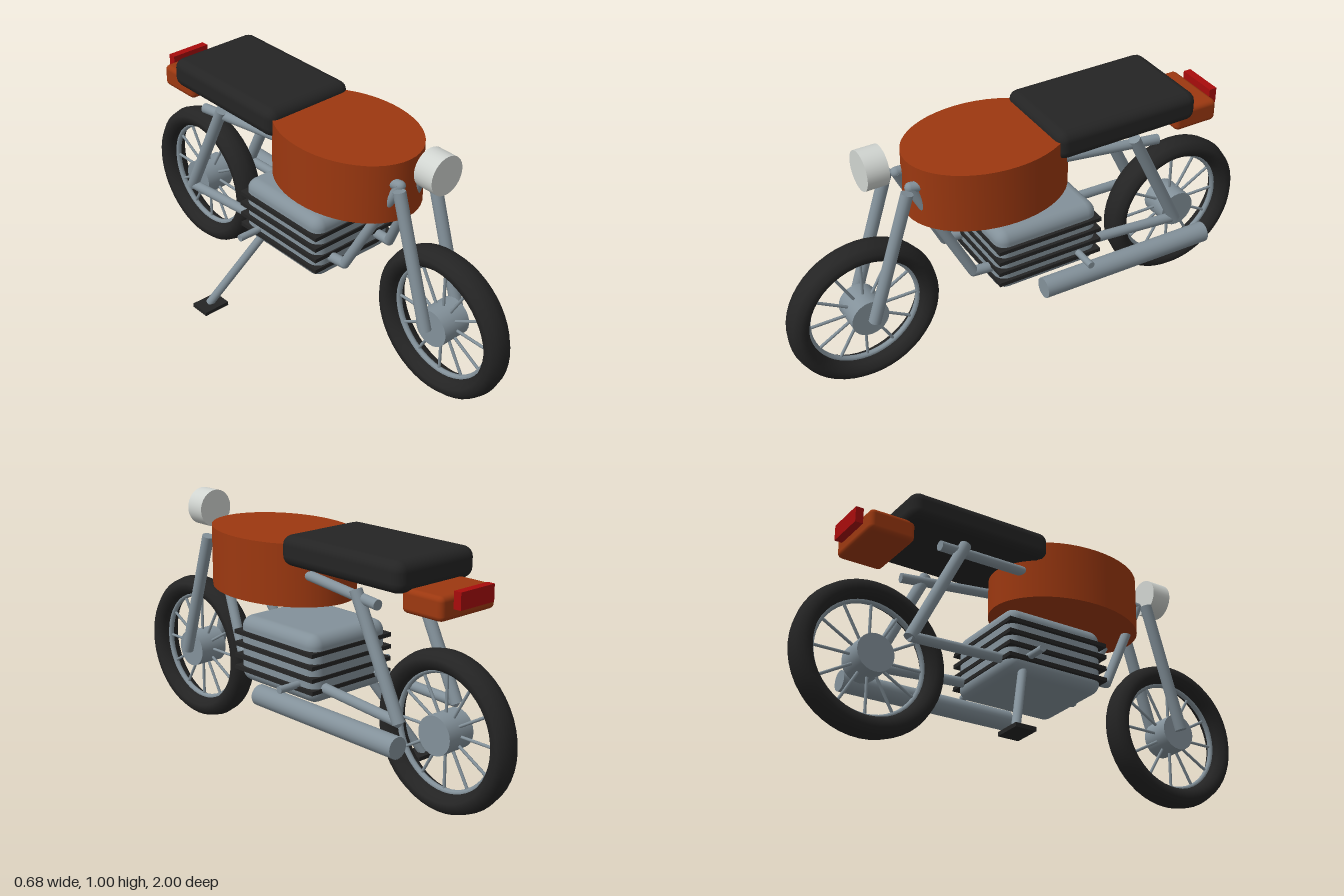
import * as THREE from 'three';
import { RoundedBoxGeometry } from 'three/addons/geometries/RoundedBoxGeometry.js';

const material = (name, color) => {
  const m = new THREE.MeshStandardMaterial({ color });
  m.name = name;
  return m;
};

export function createModel() {
  const orange = material('orange paint', 0x9c3810);
  const steel = material('grey steel', 0x83919a);
  const black = material('black rubber', 0x242424);
  const red = material('red lens', 0xa80c0c);
  const white = material('pale lamp', 0xd0d4d0);

  const model = new THREE.Group();
  model.name = 'motorcycle';
  // The bike sits slightly to its left because of the side stand
  const bike = new THREE.Group();
  bike.name = 'bike';
  bike.position.x = 0.052;
  model.add(bike);

  const add = (name, geometry, mat, x = 0, y = 0, z = 0, parent = bike) => {
    const mesh = new THREE.Mesh(geometry, mat);
    mesh.name = name;
    mesh.position.set(x, y, z);
    parent.add(mesh);
    return mesh;
  };

  // Round bar between two points
  const bar = (name, a, b, r, mat = steel, sides = 16) => {
    const p = new THREE.Vector3(...a), q = new THREE.Vector3(...b);
    const d = q.clone().sub(p);
    const mesh = add(name, new THREE.CylinderGeometry(r, r, d.length(), sides), mat);
    mesh.position.copy(p).add(q).multiplyScalar(0.5);
    mesh.quaternion.setFromUnitVectors(new THREE.Vector3(0, 1, 0), d.normalize());
    return mesh;
  };

  // Wheels: tyre, rim, hub and twelve spokes
  const tyreGeo = new THREE.TorusGeometry(0.265, 0.04, 10, 48).scale(1, 1, 1.45).rotateY(Math.PI / 2);
  const rimGeo = new THREE.TorusGeometry(0.226, 0.012, 8, 48).rotateY(Math.PI / 2);
  const hubGeo = new THREE.CylinderGeometry(0.075, 0.075, 0.125, 24).rotateZ(Math.PI / 2);
  const spokeGeo = new THREE.CylinderGeometry(0.006, 0.006, 0.18, 8).translate(0, 0.14, 0);
  for (const [name, z] of [['frontWheel', 0.695], ['rearWheel', -0.695]]) {
    const wheel = new THREE.Group();
    wheel.name = name;
    wheel.position.set(0, 0.31, z);
    add('tyre', tyreGeo, black, 0, 0, 0, wheel);
    add('rim', rimGeo, steel, 0, 0, 0, wheel);
    add('hub', hubGeo, steel, 0, 0, 0, wheel);
    for (let i = 0; i < 12; i++) {
      add('spoke', spokeGeo, steel, 0, 0, 0, wheel).rotation.x = (i * Math.PI) / 6;
    }
    bike.add(wheel);
  }

  // Frame and fork, mirrored
  for (const s of [1, -1]) {
    bar('forkLeg', [s * 0.086, 0.31, 0.69], [s * 0.086, 0.83, 0.53], 0.024);
    bar('downTube', [s * 0.057, 0.83, 0.505], [s * 0.117, 0.41, 0.29], 0.02);
    bar('lowerTube', [s * 0.117, 0.41, 0.29], [s * 0.153, 0.36, -0.61], 0.02);
    bar('topTube', [s * 0.057, 0.83, 0.505], [s * 0.153, 0.765, -0.5], 0.02);
    bar('rearStrut', [s * 0.153, 0.8, -0.39], [s * 0.153, 0.355, -0.61], 0.024);
    // Rounded joints
    const joint = new THREE.SphereGeometry(0.02, 16, 10);
    add('headJoint', joint, steel, s * 0.057, 0.83, 0.505);
    add('frameJoint', joint, steel, s * 0.117, 0.41, 0.29);
  }

  // Engine block with cooling fins
  add('engine', new RoundedBoxGeometry(0.386, 0.265, 0.435, 3, 0.045), steel, 0, 0.454, 0.002);
  for (let i = 0; i < 4; i++) {
    add('coolingFin', new THREE.BoxGeometry(0.413, 0.016, 0.446), black, 0, 0.376 + i * 0.0483, 0.003);
  }
  bar('footPegs', [-0.288, 0.388, -0.127], [0.288, 0.388, -0.127], 0.014);
  bar('exhaust', [0.231, 0.311, 0.05], [0.241, 0.311, -0.69], 0.041, steel, 24);

  // Oval fuel tank
  add('fuelTank', new THREE.CylinderGeometry(1, 1, 0.24, 48).scale(0.24, 1, 0.327), orange, 0, 0.79, 0.167);

  // Seat, tail and lamps
  add('seat', new RoundedBoxGeometry(0.4, 0.118, 0.612, 2, 0.04), black, 0, 0.888, -0.338);
  add('tail', new RoundedBoxGeometry(0.282, 0.09, 0.188, 2, 0.02), orange, 0, 0.801, -0.691);
  add('tailLight', new THREE.BoxGeometry(0.172, 0.064, 0.032), red, 0, 0.83, -0.805);
  add('headlight', new THREE.CylinderGeometry(0.076, 0.076, 0.085, 32).rotateX(Math.PI / 2), white, 0, 0.923, 0.628);

  // Side stand on the right
  bar('sideStand', [-0.15, 0.37, -0.125], [-0.338, 0.014, -0.278], 0.017);
  add('standFoot', new THREE.BoxGeometry(0.115, 0.016, 0.085), black, -0.338, 0.009, -0.272);

  return model;
}
